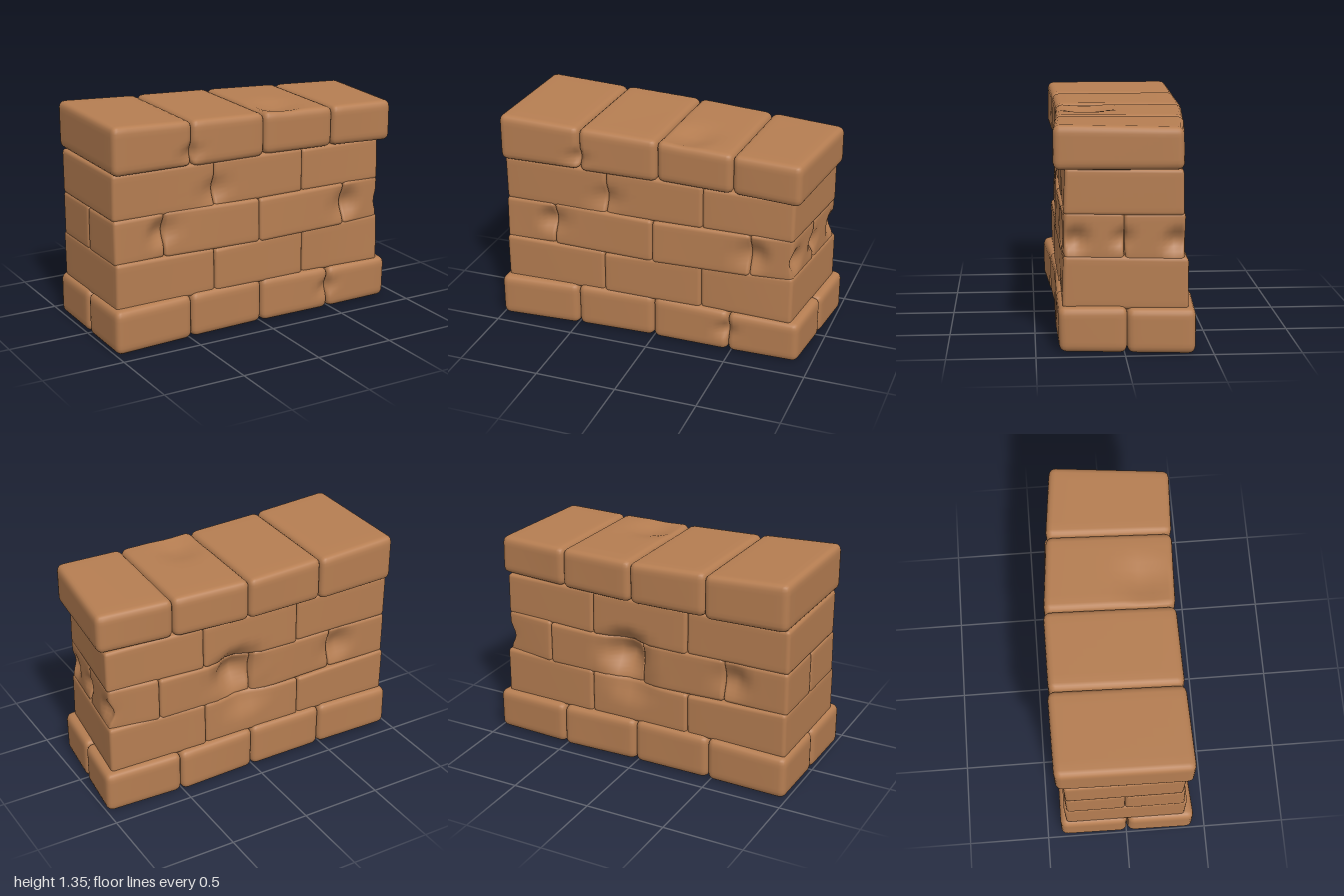
import * as THREE from 'three';
import { mergeVertices } from 'three/addons/utils/BufferGeometryUtils.js';

// Each course lists values at its joints, from left to right in the front view:
// xf/xb joint positions on the front and back, zf/zb face depths, y0/y1 bed heights.
const courses = [
  {
    name: 'baseStone', rows: 2, radius: 0.042,
    xf: [-1, -0.49, 0, 0.48, 0.915], xb: [-0.99, -0.48, 0.01, 0.51, 1],
    zf: [0.42, 0.39, 0.37, 0.375, 0.37], zb: [-0.41, -0.41, -0.41, -0.42, -0.395],
    y0: [0, 0, 0, 0, 0], y1: [0.265, 0.275, 0.275, 0.265, 0.26],
  },
  {
    name: 'lowerStone', rows: 1, radius: 0.024,
    xf: [-0.97, -0.32, 0.3, 0.865], xb: [-0.97, -0.33, 0.32, 0.95],
    zf: [0.37, 0.36, 0.35, 0.345], zb: [-0.38, -0.38, -0.38, -0.36],
    y0: [0.245, 0.255, 0.255, 0.245], y1: [0.535, 0.525, 0.54, 0.545],
  },
  {
    name: 'middleStone', rows: 2, radius: 0.024,
    xf: [-0.97, -0.65, -0.01, 0.6, 0.86], xb: [-0.97, -0.56, -0.01, 0.62, 0.94],
    zf: [0.35, 0.35, 0.36, 0.35, 0.335], zb: [-0.37, -0.37, -0.37, -0.365, -0.335],
    y0: [0.515, 0.52, 0.51, 0.525, 0.525], y1: [0.79, 0.795, 0.785, 0.795, 0.795],
  },
  {
    name: 'upperStone', rows: 1, radius: 0.024,
    xf: [-0.97, -0.31, 0.3, 0.86], xb: [-0.97, -0.32, 0.32, 0.945],
    zf: [0.34, 0.34, 0.34, 0.335], zb: [-0.37, -0.37, -0.36, -0.33],
    y0: [0.78, 0.775, 0.775, 0.78], y1: [1.06, 1.055, 1.05, 1.045],
  },
  {
    name: 'capStone', rows: 1, radius: 0.042,
    xf: [-0.98, -0.47, 0.02, 0.49, 0.905], xb: [-0.97, -0.45, 0.04, 0.52, 0.985],
    zf: [0.39, 0.37, 0.36, 0.375, 0.4], zb: [-0.415, -0.415, -0.41, -0.37, -0.325],
    y0: [1.055, 1.05, 1.045, 1.04, 1.04], y1: [1.345, 1.325, 1.305, 1.29, 1.285],
  },
];

// Worn hollows: centre, reach and the push at the centre
const hollows = [
  { at: [0.1, 0.7, -0.37], reach: 0.19, push: [0, -0.03, 0.14] },
  { at: [0.05, 0.53, -0.38], reach: 0.2, push: [0, -0.01, 0.05] },
  { at: [-0.62, 0.67, -0.37], reach: 0.14, push: [0, 0, 0.05] },
  { at: [-0.67, 0.68, 0.35], reach: 0.11, push: [0, 0, -0.05] },
  { at: [0.62, 0.66, 0.35], reach: 0.13, push: [0, 0, -0.05] },
  { at: [-0.31, 0.88, 0.34], reach: 0.11, push: [0, 0, -0.04] },
  { at: [0.87, 0.64, 0.27], reach: 0.1, push: [-0.05, 0, 0] },
  { at: [0.93, 0.64, -0.29], reach: 0.1, push: [-0.05, 0, 0] },
  { at: [0.9, 0.65, 0.01], reach: 0.08, push: [-0.04, 0, 0] },
  { at: [0.19, 1.3, 0.19], reach: 0.2, push: [0, -0.035, 0] },
  { at: [-0.48, 1.13, 0.37], reach: 0.08, push: [0, 0, -0.04] },
  { at: [0.47, 0.14, 0.38], reach: 0.08, push: [0, 0, -0.04] },
].map(({ at, reach, push }) => ({
  centre: new THREE.Vector3(...at), reach, push: new THREE.Vector3(...push),
}));

// Rounded block stretched between eight corners; corner index = x + 2y + 4z
function stoneGeometry(corners, radius) {
  const half = [1, 2, 4].map((c) => corners[0].distanceTo(corners[c]) / 2);
  const box = new THREE.BoxGeometry(2, 2, 2, 12, 12, 12);
  box.deleteAttribute('uv');
  box.deleteAttribute('normal');
  const geometry = mergeVertices(box, 1e-5);
  const pos = geometry.attributes.position;
  const point = new THREE.Vector3();
  const inner = new THREE.Vector3();
  const edge = new THREE.Vector3();

  for (let i = 0; i < pos.count; i++) {
    // Outer sixth of the segments on each side forms the rounded edge
    for (let a = 0; a < 3; a++) {
      const s = pos.getComponent(i, a);
      const core = half[a] - radius;
      inner.setComponent(a, THREE.MathUtils.clamp(s * 1.5, -1, 1) * core);
      edge.setComponent(a, Math.sign(s) * Math.max(0, Math.abs(s) * 3 - 2));
    }
    inner.addScaledVector(edge.normalize(), radius);

    const [u, v, t] = half.map((h, a) => inner.getComponent(a) / (2 * h) + 0.5);
    point.set(0, 0, 0);
    corners.forEach((corner, c) => {
      const weight = (c & 1 ? u : 1 - u) * (c & 2 ? v : 1 - v) * (c & 4 ? t : 1 - t);
      point.addScaledVector(corner, weight);
    });

    for (const { centre, reach, push } of hollows) {
      const fall = 1 - Math.min(1, point.distanceTo(centre) / reach);
      point.addScaledVector(push, fall * fall * (3 - 2 * fall));
    }
    pos.setXYZ(i, point.x, point.y, point.z);
  }
  geometry.computeVertexNormals();
  return geometry;
}

export function createModel() {
  const wall = new THREE.Group();
  wall.name = 'stoneWall';
  const stone = new THREE.MeshStandardMaterial({ color: 0xb67e52 });
  stone.name = 'warm brown stone';

  let seed = 7;
  const random = () => (seed = (seed * 16807) % 2147483647) / 2147483647;
  const jitter = (size) => (random() - 0.5) * size;
  const lerp = THREE.MathUtils.lerp;

  for (const course of courses) {
    const group = new THREE.Group();
    group.name = course.name + 'Course';
    const count = course.xf.length - 1;
    for (let i = 0; i < count; i++) {
      // Rows run from the back (0) to the front
      for (let row = 0; row < course.rows; row++) {
        const corners = [];
        for (let c = 0; c < 8; c++) {
          const j = i + (c & 1);
          const t = (row + (c & 4 ? 1 : 0)) / course.rows;
          const y = c & 2 ? course.y1[j] : course.y0[j];
          corners.push(new THREE.Vector3(
            lerp(course.xb[j], course.xf[j], t),
            y === 0 ? 0 : y + jitter(0.01),
            lerp(course.zb[j], course.zf[j], t) + jitter(0.01),
          ));
        }
        const mesh = new THREE.Mesh(stoneGeometry(corners, course.radius), stone);
        mesh.name = course.name;
        group.add(mesh);
      }
    }
    wall.add(group);
  }
  return wall;
}
